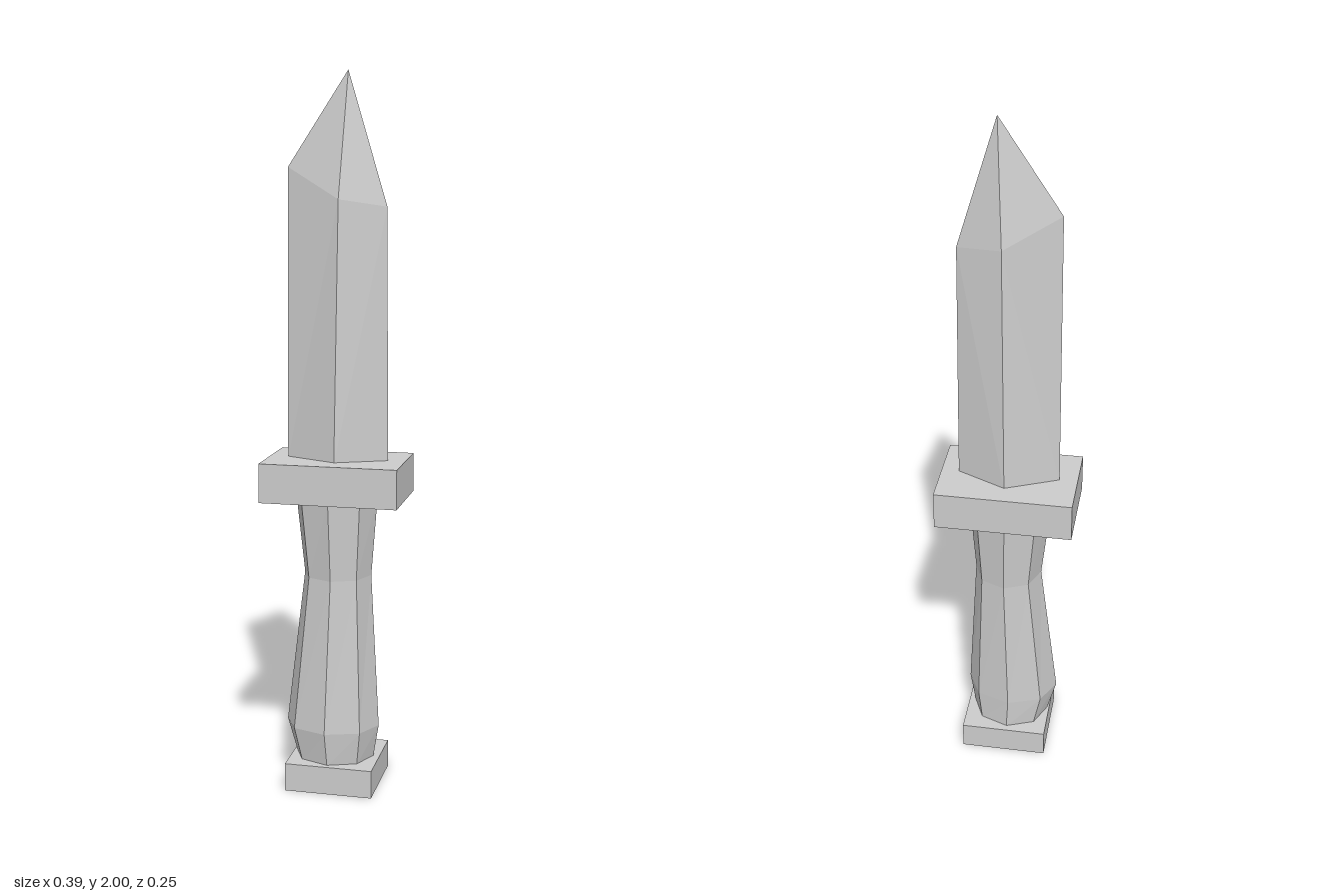
import * as THREE from 'three';

const steel = new THREE.MeshStandardMaterial({ color: 0xcccccc, flatShading: true });
steel.name = 'plain grey';

// Skins stacked rings of [x, y, z] points (each ring runs from +x towards +z);
// an optional tip closes the top. flip(i) picks the diagonal of each side quad.
function loft(rings, tip, flip = () => false) {
  const pos = [];
  const tri = (...pts) => pts.forEach((p) => pos.push(...p));
  const n = rings[0].length;
  for (let k = 0; k < rings.length - 1; k++) {
    for (let i = 0; i < n; i++) {
      const j = (i + 1) % n;
      const [b, c, t, u] = [rings[k][i], rings[k][j], rings[k + 1][i], rings[k + 1][j]];
      if (flip(i)) { tri(b, t, u); tri(b, u, c); }
      else { tri(b, t, c); tri(t, u, c); }
    }
  }
  const last = rings[rings.length - 1];
  if (tip) last.forEach((p, i) => tri(p, tip, last[(i + 1) % n]));
  const geo = new THREE.BufferGeometry();
  geo.setAttribute('position', new THREE.Float32BufferAttribute(pos, 3));
  geo.computeVertexNormals();
  return geo;
}

export function createModel() {
  const group = new THREE.Group();
  group.name = 'dagger';
  const add = (name, geo, y = 0) => {
    const mesh = new THREE.Mesh(geo, steel);
    mesh.name = name;
    mesh.position.y = y;
    group.add(mesh);
  };

  // Square pommel and wide crossguard
  add('pommel', new THREE.BoxGeometry(0.25, 0.08, 0.24), 0.04);
  add('guard', new THREE.BoxGeometry(0.386, 0.11, 0.252), 0.89);

  // Octagonal grip: [y, centre x, centre z, radius x, radius z]
  const grip = [
    [0.075, -0.006, 0.002, 0.112, 0.102],
    [0.175, -0.011, 0.008, 0.134, 0.109],
    [0.615, 0.002, 0, 0.096, 0.096],
    [0.84, -0.002, 0, 0.117, 0.11],
  ].map(([y, cx, cz, rx, rz]) => Array.from({ length: 8 }, (_, i) => {
    const a = (i * Math.PI) / 4;
    return [cx + rx * Math.cos(a), y, cz + rz * Math.sin(a)];
  }));
  add('grip', loft(grip));

  // Diamond-section blade with slanted shoulders and an off-centre tip
  const base = [[0.144, 0.94, 0], [0.005, 0.94, 0.065], [-0.142, 0.94, 0], [0.005, 0.94, -0.065]];
  const shoulder = [[0.138, 1.64, 0], [0.013, 1.66, 0.047], [-0.138, 1.745, 0], [0.013, 1.66, -0.047]];
  add('blade', loft([base, shoulder], [0.03, 2, 0], (i) => i >= 2));

  return group;
}
